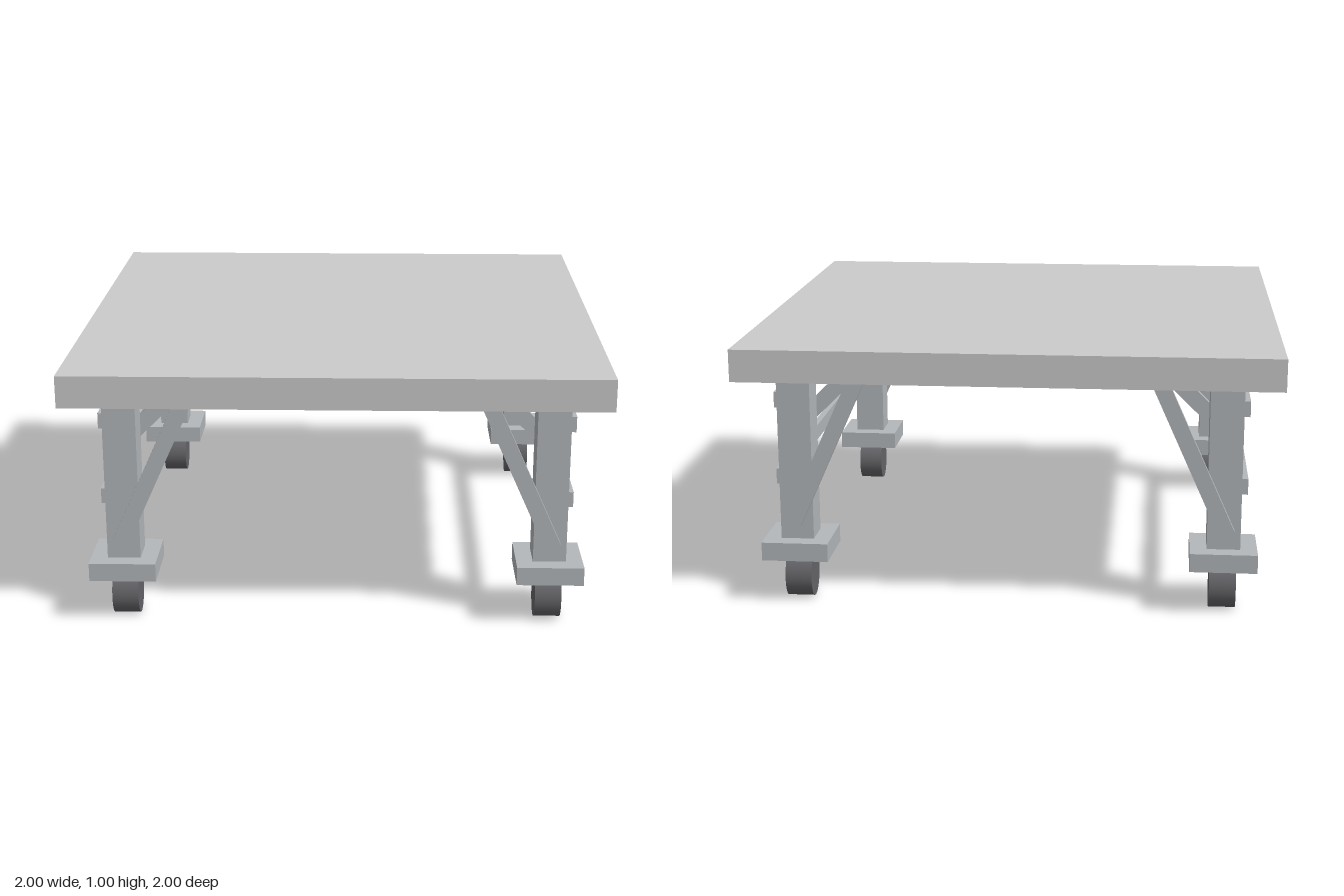
import * as THREE from 'three';

const topMat = new THREE.MeshStandardMaterial({ color: 0xcccccc });
const frameMat = new THREE.MeshStandardMaterial({ color: 0xb4b8bb });
const wheelMat = new THREE.MeshStandardMaterial({ color: 0x66666a });

function box(name, w, h, d, x, y, z, mat = frameMat) {
  const mesh = new THREE.Mesh(new THREE.BoxGeometry(w, h, d), mat);
  mesh.name = name;
  mesh.position.set(x, y, z);
  return mesh;
}

// Flat bar between two points in a plane of constant z
function brace(name, x0, y0, x1, y1, z) {
  const dx = x1 - x0, dy = y1 - y0;
  const bar = box(name, 0.06, Math.hypot(dx, dy), 0.025, (x0 + x1) / 2, (y0 + y1) / 2, z);
  bar.rotation.z = -Math.atan2(dx, dy);
  return bar;
}

// One corner: post, foot plate, slightly oval wheel and two braces leaning inwards
function corner(sx, sz) {
  const g = new THREE.Group();
  g.name = 'legAssembly';
  const x = 0.8 * sx, z = 0.8 * sz;
  g.add(box('leg', 0.124, 0.635, 0.124, x, 0.5625, z));
  g.add(box('footPlate', 0.25, 0.07, 0.25, x, 0.21, z));

  const geo = new THREE.CylinderGeometry(0.075, 0.075, 0.1, 32);
  geo.rotateZ(Math.PI / 2);
  geo.scale(1, 0.0875 / 0.075, 1);
  const wheel = new THREE.Mesh(geo, wheelMat);
  wheel.name = 'wheel';
  wheel.position.set(x, 0.0875, z);
  g.add(wheel);

  g.add(brace('outerBrace', 0.811 * sx, 0.309 * sx * sx, 0.54 * sx, 0.91, 0.8745 * sz));
  g.add(brace('innerBrace', 0.81 * sx, 0.66, 0.565 * sx, 0.9, 0.7255 * sz));
  return g;
}

export function createModel() {
  const model = new THREE.Group();
  model.name = 'rollingTable';
  model.add(box('tableTop', 2, 0.12, 2, 0, 0.94, 0, topMat));

  for (const sx of [-1, 1]) {
    for (const sz of [-1, 1]) model.add(corner(sx, sz));
    // Side rails on the outside of the legs
    for (const y of [0.47, 0.767]) {
      model.add(box('sideRail', 0.025, 0.06, 1.6, 0.8745 * sx, y, 0));
    }
  }
  return model;
}
